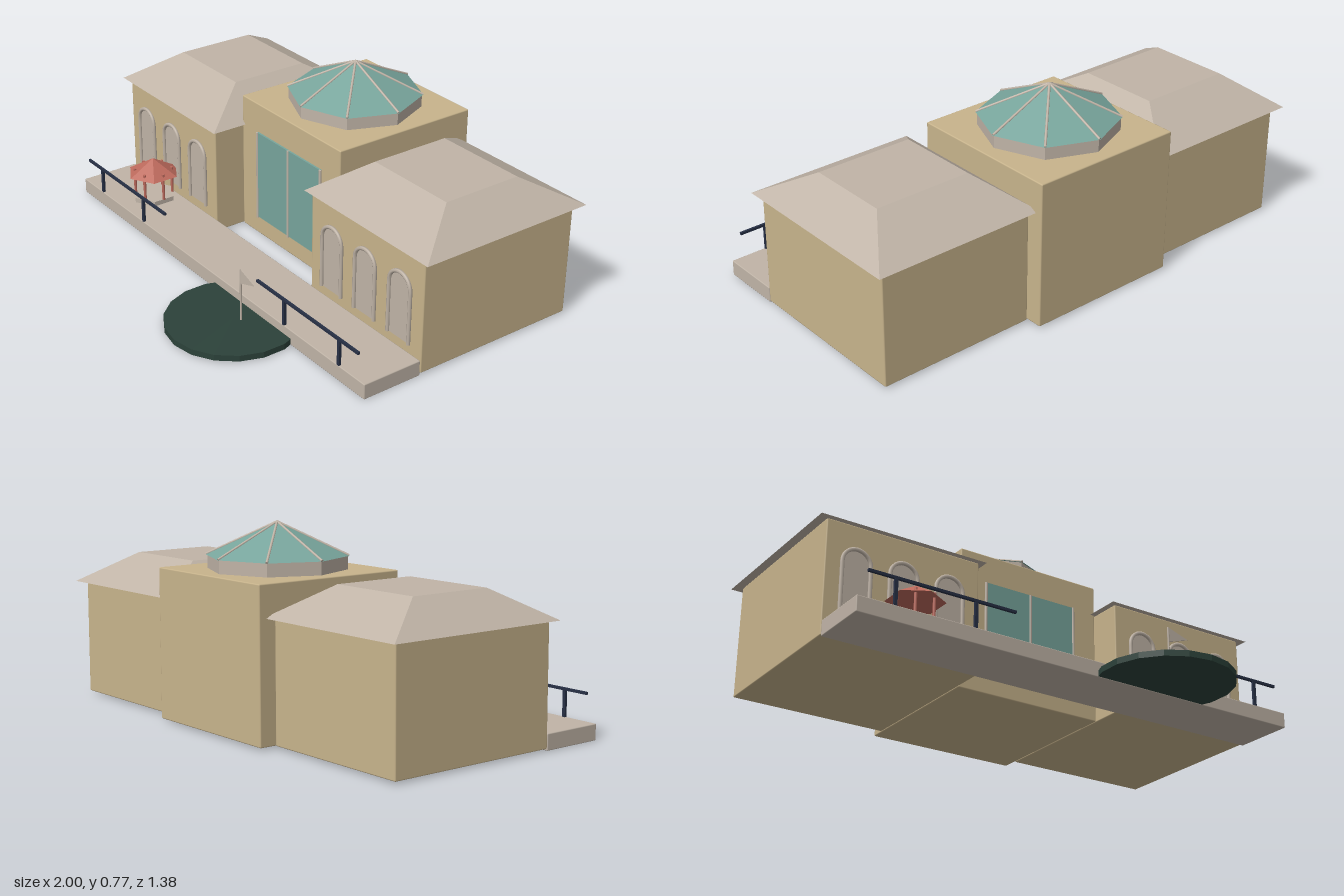
import * as THREE from 'three';
import { RoundedBoxGeometry } from 'three/addons/geometries/RoundedBoxGeometry.js';

const mat = (name, color) => {
  const m = new THREE.MeshStandardMaterial({ color });
  m.name = name;
  return m;
};

export function createModel() {
  const root = new THREE.Group();
  root.name = 'pavilionBuilding';

  const sand = mat('sandWall', 0xc8b48c);
  const stone = mat('paleStone', 0xc0b4a7);
  const glass = mat('tealGlass', 0x78a59c);
  const red = mat('terracotta', 0xbd6a5d);
  const navy = mat('navyMetal', 0x273045);
  const pondGreen = mat('darkGreen', 0x2c423a);

  const add = (parent, name, geo, material, x = 0, y = 0, z = 0) => {
    const m = new THREE.Mesh(geo, material);
    m.name = name;
    m.position.set(x, y, z);
    parent.add(m);
    return m;
  };
  const group = (name, x = 0, y = 0, z = 0) => {
    const g = new THREE.Group();
    g.name = name;
    g.position.set(x, y, z);
    root.add(g);
    return g;
  };
  // Box given by its limits, with slightly softened edges
  const block = (parent, name, material, [x0, x1], [y0, y1], [z0, z1], r = 0.005) =>
    add(parent, name, new RoundedBoxGeometry(x1 - x0, y1 - y0, z1 - z0, 1, r), material,
      (x0 + x1) / 2, (y0 + y1) / 2, (z0 + z1) / 2);
  // Flat-faced prism, cone or frustum
  const prism = (rTop, rBottom, h, sides) => {
    const g = new THREE.CylinderGeometry(rTop, rBottom, h, sides).toNonIndexed();
    g.computeVertexNormals();
    return g;
  };
  // Thin rod between two points
  const rod = (parent, name, material, a, b, r) => {
    const d = b.clone().sub(a);
    const m = add(parent, name, new THREE.CylinderGeometry(r, r, d.length(), 8), material);
    m.position.copy(a).add(b).multiplyScalar(0.5);
    m.quaternion.setFromUnitVectors(new THREE.Vector3(0, 1, 0), d.normalize());
    return m;
  };
  const V = (x, y, z) => new THREE.Vector3(x, y, z);

  // Hipped roof: a box whose top corners are drawn inwards to a flat deck
  const hipRoof = () => {
    const g = new THREE.BoxGeometry(0.70, 0.118, 0.765).toNonIndexed();
    const p = g.attributes.position;
    for (let i = 0; i < p.count; i++) {
      if (p.getY(i) > 0) {
        p.setX(i, Math.sign(p.getX(i)) * 0.198);
        p.setZ(i, Math.sign(p.getZ(i)) * 0.17);
      }
    }
    g.computeVertexNormals();
    return g;
  };

  // Arched window outline, standing on y = 0
  const archShape = (r, h) => {
    const s = new THREE.Shape();
    s.moveTo(-r, 0);
    s.lineTo(r, 0);
    s.lineTo(r, h);
    s.absarc(0, h, r, 0, Math.PI, false);
    s.lineTo(-r, 0);
    return s;
  };
  const paneGeo = new THREE.ExtrudeGeometry(archShape(0.056, 0.215), { depth: 0.006, bevelEnabled: false, curveSegments: 12 });
  const framePath = new THREE.CurvePath();
  framePath.add(new THREE.LineCurve3(V(-0.058, 0, 0), V(-0.058, 0.215, 0)));
  const arc = [];
  for (let i = 0; i <= 12; i++) {
    const a = Math.PI * (1 - i / 12);
    arc.push(V(0.058 * Math.cos(a), 0.215 + 0.058 * Math.sin(a), 0));
  }
  framePath.add(new THREE.CatmullRomCurve3(arc));
  framePath.add(new THREE.LineCurve3(V(0.058, 0.215, 0), V(0.058, 0, 0)));
  const frameGeo = new THREE.TubeGeometry(framePath, 48, 0.008, 6, false);

  // Side wings with roofs, windows and terrace railings
  for (const s of [-1, 1]) {
    const side = s > 0 ? 'left' : 'right';
    const wing = group(side + 'Wing', s * 0.645);
    block(wing, 'wingWalls', sand, [-0.322, 0.322], [0.008, 0.468], [-0.626, 0.085]);
    add(wing, 'wingRoof', hipRoof(), stone, s * 0.005, 0.527, -0.277);
    for (const x of [-0.195, 0, 0.195]) {
      add(wing, 'windowPane', paneGeo, stone, s * 0.003 + x, 0.098, 0.082);
      add(wing, 'windowFrame', frameGeo, stone, s * 0.003 + x, 0.098, 0.091);
    }
    const rail = group(side + 'Railing', s * 0.622, 0, 0.335);
    add(rail, 'handRail', new THREE.BoxGeometry(0.605, 0.01, 0.01), navy, 0, 0.168, 0);
    for (const x of [-0.133, 0.193]) {
      add(rail, 'railPost', new THREE.BoxGeometry(0.013, 0.11, 0.01), navy, s * x, 0.113, 0);
    }
  }

  // Central hall with glazed front
  const hall = group('centralHall');
  block(hall, 'hallWalls', sand, [-0.32, 0.32], [0.008, 0.592], [-0.69, -0.048]);
  add(hall, 'hallGlazing', new THREE.BoxGeometry(0.415, 0.38, 0.009), glass, 0, 0.28, -0.044);
  for (const x of [-0.207, 0, 0.207]) {
    rod(hall, 'mullion', stone, V(x, 0.085, -0.041), V(x, 0.47, -0.041), 0.006);
  }

  // Octagonal lantern: drum, glass roof and ribs
  const lantern = group('lantern', 0, 0, -0.37);
  add(lantern, 'drum', prism(0.266, 0.266, 0.055, 8), stone, 0, 0.616, 0);
  add(lantern, 'glassRoof', prism(0, 0.272, 0.126, 8), glass, 0, 0.706, 0);
  for (let i = 0; i < 8; i++) {
    const a = i * Math.PI / 4;
    rod(lantern, 'roofRib', stone, V(0.27 * Math.sin(a), 0.645, 0.27 * Math.cos(a)), V(0, 0.769, 0), 0.005);
  }

  // Terrace and pond
  block(root, 'terrace', stone, [-0.966, 0.966], [0, 0.063], [0.087, 0.341], 0.004);
  add(root, 'pond', prism(0.265, 0.265, 0.024, 18), pondGreen, 0.29, 0.015, 0.424);

  // Hexagonal gazebo
  const gazebo = group('gazebo', -0.65, 0, 0.185);
  add(gazebo, 'gazeboBase', prism(0.092, 0.092, 0.022, 6), stone, 0, 0.072, 0);
  add(gazebo, 'gazeboRoof', prism(0, 0.111, 0.065, 6), red, 0, 0.211, 0);
  for (let i = 0; i < 6; i++) {
    const a = i * Math.PI / 3;
    const x = 0.077 * Math.cos(a), z = 0.077 * Math.sin(a);
    rod(gazebo, 'gazeboPost', red, V(x, 0.08, z), V(x, 0.199, z), 0.006);
  }

  // Flagpole with pennant
  const flag = group('flagpole', 0.322, 0, 0.412);
  rod(flag, 'pole', stone, V(0, 0.025, 0), V(0, 0.245, 0), 0.004);
  const pennant = new THREE.Shape([[0, 0.185], [0.093, 0.215], [0, 0.245]].map(([x, y]) => new THREE.Vector2(x, y)));
  add(flag, 'pennant', new THREE.ExtrudeGeometry(pennant, { depth: 0.004, bevelEnabled: false }), stone, 0, 0, -0.002);

  return root;
}
